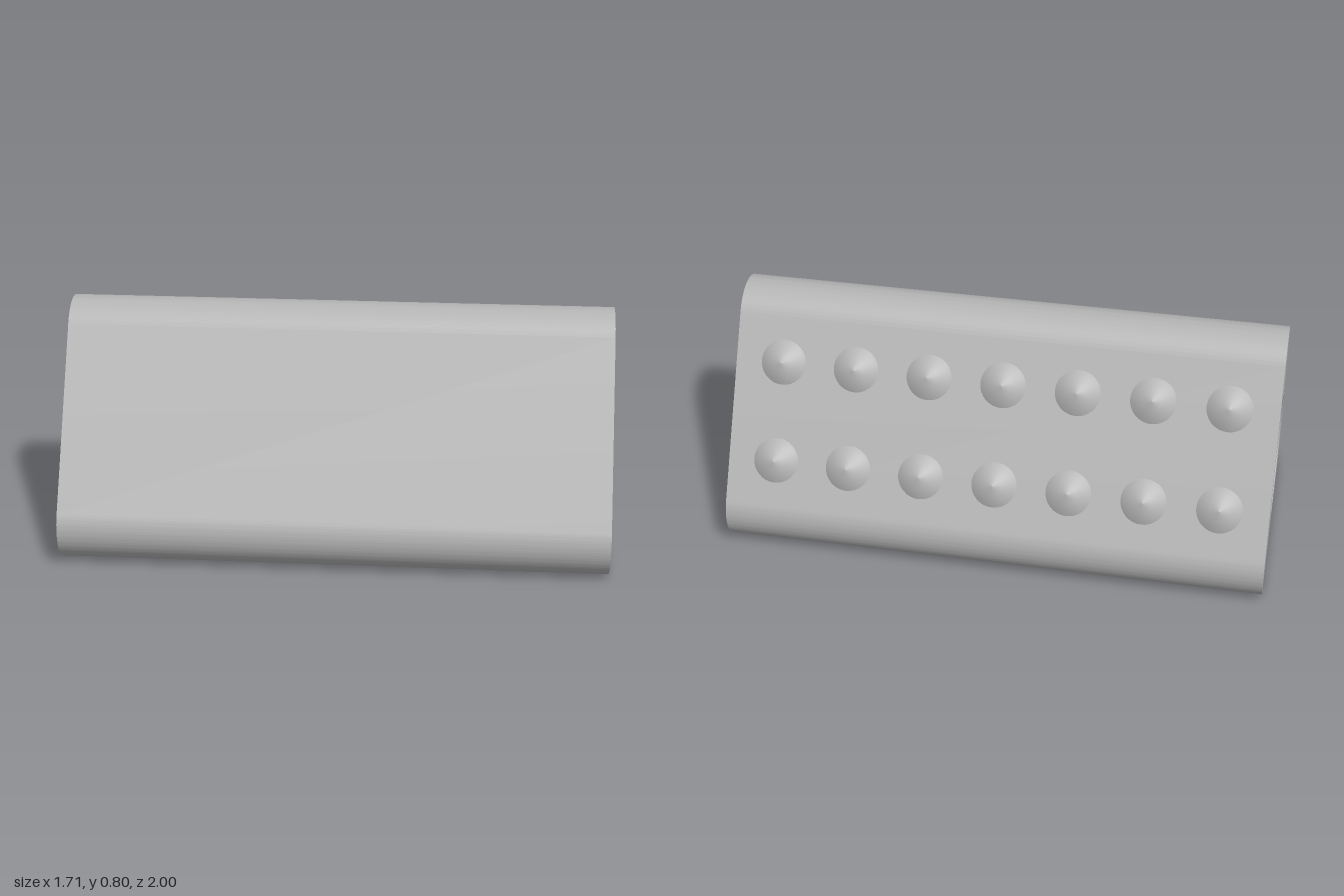
import * as THREE from 'three';
import { toCreasedNormals } from 'three/addons/utils/BufferGeometryUtils.js';

const LENGTH = 1.805; // along the prism axis
const SIDE = 0.635; // straight part of each triangle side
const CORNER = 0.125; // corner radius
const HOLE = 0.207; // bore radius
const YAW = 0.559; // turn about the vertical axis

export function createModel() {
  const grey = new THREE.MeshStandardMaterial({ color: 0xb4b4b4 });
  grey.name = 'plain grey';

  const group = new THREE.Group();
  group.name = 'triangularBlock';

  // Rounded triangular body with a round bore
  const rise = SIDE * Math.sqrt(3) / 2;
  const centreY = CORNER + rise / 3;
  const outline = new THREE.Shape();
  const third = Math.PI * 2 / 3;
  outline.absarc(SIDE / 2, CORNER, CORNER, -Math.PI / 2, -Math.PI / 2 + third, false);
  outline.absarc(0, CORNER + rise, CORNER, Math.PI / 6, Math.PI / 6 + third, false);
  outline.absarc(-SIDE / 2, CORNER, CORNER, Math.PI * 5 / 6, Math.PI * 5 / 6 + third, false);
  outline.closePath();
  const bore = new THREE.Path();
  bore.absarc(0, centreY, HOLE, 0, Math.PI * 2, true);
  outline.holes.push(bore);

  const bodyGeometry = new THREE.ExtrudeGeometry(outline, {
    depth: LENGTH, bevelEnabled: false, curveSegments: 32,
  });
  bodyGeometry.translate(0, 0, -LENGTH / 2);
  const body = new THREE.Mesh(toCreasedNormals(bodyGeometry, 0.6), grey);
  body.name = 'body';
  group.add(body);

  // Two rows of seven low pointed studs on the left sloping face
  const studGeometry = new THREE.LatheGeometry([
    new THREE.Vector2(0.078, -0.002),
    new THREE.Vector2(0.06, 0.012),
    new THREE.Vector2(0.03, 0.029),
    new THREE.Vector2(0, 0.038),
  ], 32);
  const normal = new THREE.Vector2(Math.cos(Math.PI / 6), Math.sin(Math.PI / 6));
  const faceX = SIDE / 4 + CORNER * normal.x;
  const faceY = CORNER + rise / 2 + CORNER * normal.y;
  for (const slide of [-0.165, 0.165]) {
    for (let i = -3; i <= 3; i++) {
      const stud = new THREE.Mesh(studGeometry, grey);
      stud.name = 'stud';
      stud.position.set(faceX - slide * normal.y, faceY + slide * normal.x, i * 0.247);
      stud.rotation.z = -Math.PI / 3;
      group.add(stud);
    }
  }

  group.rotation.y = YAW;
  return group;
}
